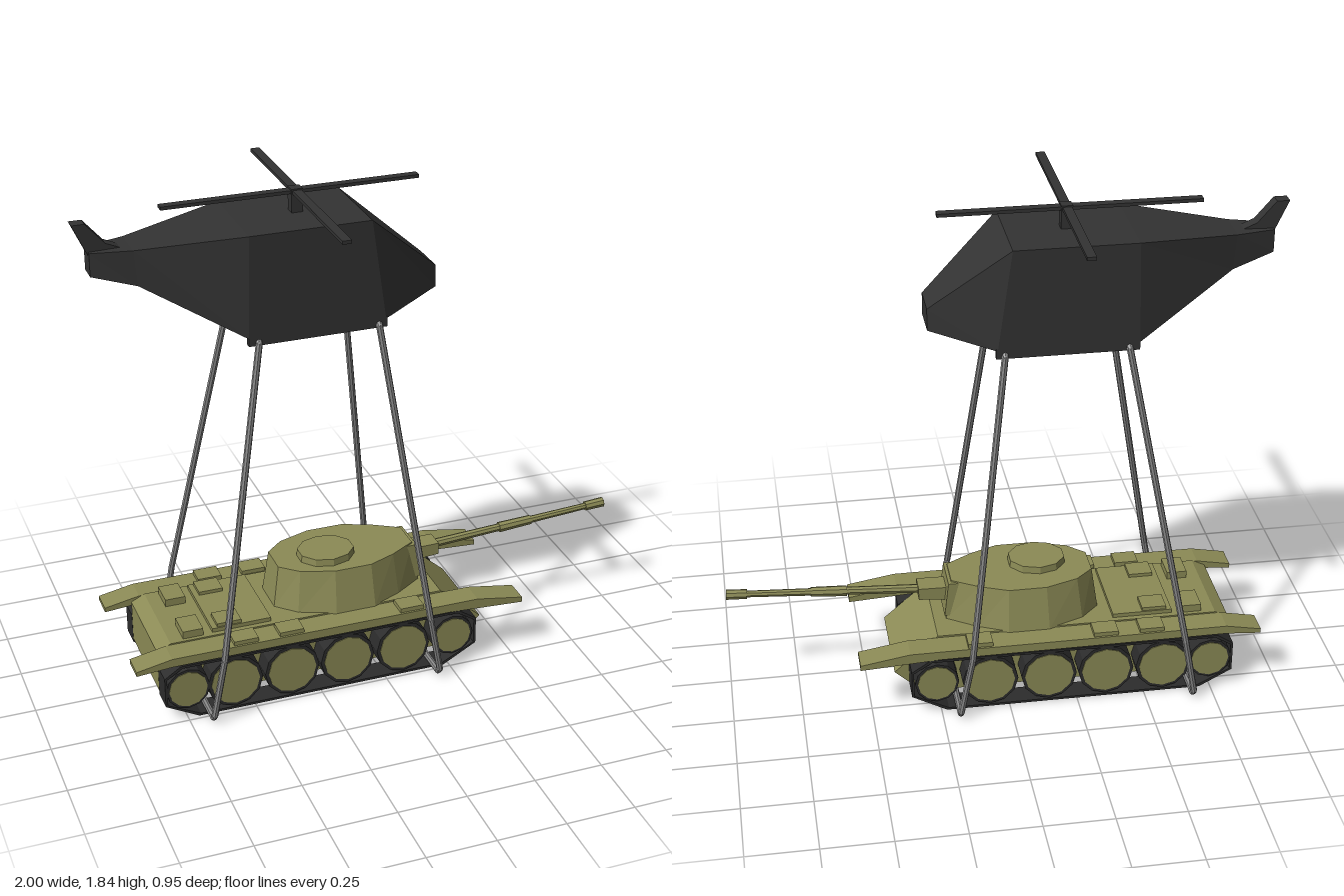
import * as THREE from 'three';

const mat = (color, side = THREE.FrontSide) => new THREE.MeshStandardMaterial({ color, flatShading: true, side });
const olive = mat(0x8c8b56), black = mat(0x333333), rubber = mat(0x2c2c2c), steel = mat(0x858585);
const MID = -0.033; // z of the common centre line

function add(parent, name, geometry, material, x = 0, y = 0, z = 0) {
  const mesh = new THREE.Mesh(geometry, material);
  mesh.name = name;
  mesh.position.set(x, y, z);
  parent.add(mesh);
  return mesh;
}

// Box given by its x, y and z ranges
function box(parent, name, material, [x0, x1], [y0, y1], [z0, z1]) {
  return add(parent, name, new THREE.BoxGeometry(x1 - x0, y1 - y0, z1 - z0), material,
    (x0 + x1) / 2, (y0 + y1) / 2, (z0 + z1) / 2);
}

// Side profile in x and y, extruded from z0 to z1
function profile(points, z0, z1, hole) {
  const shape = new THREE.Shape(points.map(p => new THREE.Vector2(...p)));
  if (hole) shape.holes.push(new THREE.Path(hole.map(p => new THREE.Vector2(...p))));
  return new THREE.ExtrudeGeometry(shape, { depth: z1 - z0, bevelEnabled: false }).translate(0, 0, z0);
}

// Solid through loops of equal length, closed at both ends
function loft(loops) {
  const n = loops[0].length, index = [];
  for (let i = 0; i < loops.length - 1; i++) {
    for (let j = 0; j < n; j++) {
      const a = i * n + j, b = i * n + (j + 1) % n;
      index.push(a, b, b + n, a, b + n, a + n);
    }
  }
  const end = (loops.length - 1) * n;
  for (let j = 1; j < n - 1; j++) index.push(0, j + 1, j, end, end + j, end + j + 1);
  const g = new THREE.BufferGeometry();
  g.setAttribute('position', new THREE.Float32BufferAttribute(loops.flat(2), 3));
  g.setIndex(index);
  const flat = g.toNonIndexed();
  flat.computeVertexNormals();
  return flat;
}

// Cylinder between two points
function rod(parent, name, a, b, r0, r1, material, sides = 8) {
  const dir = b.clone().sub(a);
  const mesh = add(parent, name, new THREE.CylinderGeometry(r1, r0, dir.length(), sides), material);
  mesh.position.copy(a).addScaledVector(dir, 0.5);
  mesh.quaternion.setFromUnitVectors(new THREE.Vector3(0, 1, 0), dir.normalize());
  return mesh;
}

function buildTank() {
  const tank = new THREE.Group();
  tank.name = 'tank';

  add(tank, 'hull', profile([[-0.83, 0.09], [-0.77, 0.04], [0.31, 0.04], [0.41, 0.135],
    [0.25, 0.275], [-0.78, 0.275], [-0.83, 0.25]], -0.18, 0.18), olive);

  // Raised plates on the engine deck
  box(tank, 'engineCover', olive, [-0.62, -0.40], [0.27, 0.29], [-0.16, 0.16]);
  for (const s of [-1, 1]) {
    const z = s * 0.115;
    box(tank, 'deckHatch', olive, [-0.73, -0.655], [0.27, 0.303], [z - 0.05, z + 0.05]);
    box(tank, 'deckGrille', olive, [-0.60, -0.51], [0.28, 0.303], [z - 0.04, z + 0.04]);
  }

  // Running gear, one set per side
  const belt = [[-0.71, 0.01], [0.23, 0.01], [0.357, 0.08], [0.357, 0.185], [0.29, 0.23],
    [-0.77, 0.23], [-0.83, 0.19], [-0.83, 0.075]];
  const inner = belt.map(([x, y]) => [-0.236 + (x + 0.236) * 0.986, 0.12 + (y - 0.12) * 0.92]);
  const wheels = [[-0.745, 0.13, 0.08], [-0.57, 0.122, 0.102], [-0.357, 0.122, 0.102],
    [-0.146, 0.122, 0.102], [0.07, 0.122, 0.102], [0.265, 0.13, 0.08]];
  for (const s of [-1, 1]) {
    const side = new THREE.Group();
    side.name = s > 0 ? 'leftRunningGear' : 'rightRunningGear';
    tank.add(side);
    const z0 = s > 0 ? 0.183 : -0.268;
    add(side, 'track', profile(belt, z0, z0 + 0.085, inner), rubber);
    for (const [x, y, r] of wheels) {
      const wheel = new THREE.Group();
      wheel.name = 'roadWheel';
      wheel.position.set(x, y, s * 0.223);
      side.add(wheel);
      add(wheel, 'tyre', new THREE.CylinderGeometry(r, r, 0.084, 12).rotateX(Math.PI / 2), rubber);
      add(wheel, 'disc', new THREE.CylinderGeometry(r * 0.88, r * 0.88, 0.09, 12).rotateX(Math.PI / 2), olive);
    }
    const f0 = s > 0 ? 0.18 : -0.272;
    add(side, 'fender', profile([[-0.93, 0.228], [-0.8, 0.238], [0.25, 0.235], [0.54, 0.218],
      [0.54, 0.238], [0.36, 0.268], [-0.8, 0.27], [-0.93, 0.245]], f0, f0 + 0.092), olive);
    for (const x of [-0.525, -0.355, 0.105]) {
      box(side, 'stowageBox', olive, [x - 0.045, x + 0.045], [0.26, 0.285],
        [s * 0.228 - 0.036, s * 0.228 + 0.036]);
    }
  }

  // Turret: faceted oval tapering to its roof
  const half = [[-0.36, 0.07], [-0.29, 0.14], [-0.16, 0.19], [-0.01, 0.19], [0.10, 0.14], [0.205, 0.07]];
  const oval = [...half, ...half.map(([x, z]) => [x, -z]).reverse()];
  add(tank, 'turret', loft([[0.27, 1, 1], [0.43, 0.92, 0.83]].map(([y, sx, sz]) =>
    oval.map(([x, z]) => [-0.07 + (x + 0.07) * sx, y, z * sz]))), olive);
  add(tank, 'cupola', new THREE.CylinderGeometry(0.105, 0.108, 0.03, 10).scale(1, 1, 0.86), olive,
    -0.145, 0.441, 0.028);

  // Gun
  add(tank, 'mantlet', profile([[0.12, 0.29], [0.21, 0.29], [0.195, 0.425], [0.12, 0.425]], -0.075, 0.075), olive);
  add(tank, 'gunCollar', profile([[0.18, 0.335], [0.30, 0.345], [0.30, 0.39], [0.18, 0.388]], -0.038, 0.038), olive);
  const on = x => new THREE.Vector3(x, 0.364 + (x - 0.19) * 0.061, 0);
  rod(tank, 'barrel', on(0.2), on(0.97), 0.017, 0.012, olive);
  rod(tank, 'boreEvacuator', on(0.56), on(0.69), 0.02, 0.018, olive);
  rod(tank, 'muzzle', on(0.92), on(0.995), 0.018, 0.019, olive);
  return tank;
}

function buildHelicopter() {
  const heli = new THREE.Group();
  heli.name = 'helicopter';

  // Sections from tail to nose: top x, bottom x, bottom y, top y, half width
  const sections = [[-0.95, -0.95, 1.64, 1.722, 0.035], [-0.81, -0.80, 1.60, 1.726, 0.07],
    [-0.45, -0.46, 1.402, 1.765, 0.178], [-0.02, 0.03, 1.402, 1.765, 0.178], [0.255, 0.255, 1.445, 1.525, 0.068]];
  add(heli, 'fuselage', loft(sections.map(([xt, xb, y0, y1, w]) =>
    [[xt, y1, w], [xb, y0, w], [xb, y0, -w], [xt, y1, -w]])), black);
  add(heli, 'tailFin', profile([[-0.95, 1.71], [-0.82, 1.715], [-0.89, 1.745], [-0.955, 1.82], [-1.0, 1.82]],
    -0.022, 0.022), black);
  for (const s of [-1, 1]) {
    box(heli, 'skidRail', black, [-0.46, 0.035], [1.373, 1.41], [s * 0.168 - 0.01, s * 0.168 + 0.01]);
  }

  // Rotor
  box(heli, 'mast', black, [-0.25, -0.21], [1.75, 1.848], [-0.02, 0.02]);
  box(heli, 'bladePairLong', black, [-0.70, 0.21], [1.831, 1.843], [-0.016, 0.016]);
  box(heli, 'bladePairCross', black, [-0.246, -0.214], [1.831, 1.843], [-0.443, 0.508]);
  return heli;
}

// Lifting frame: closed loop from the belly, around the tank and under it
function buildSling(name, topX, kneeX, bottomX) {
  const sling = new THREE.Group();
  sling.name = name;
  const side = [[topX - (kneeX - topX) * 0.01, 1.392, 0.165], [topX, 1.38, 0.18], [kneeX, 0.27, 0.343],
    [bottomX, 0.045, 0.337], [bottomX, 0.027, 0.32]];
  const path = [...side, ...side.map(([x, y, z]) => [x, y, -z]).reverse()].map(p => new THREE.Vector3(...p));
  path.forEach((p, i) => {
    rod(sling, 'slingBar', p, path[(i + 1) % path.length], 0.012, 0.012, steel);
    add(sling, 'slingJoint', new THREE.SphereGeometry(0.012, 8, 6), steel, p.x, p.y, p.z);
  });
  return sling;
}

export function createModel() {
  const model = new THREE.Group();
  model.name = 'helicopterCarryingTank';
  model.add(buildTank(), buildHelicopter(),
    buildSling('rearSling', -0.425, -0.63, -0.672), buildSling('frontSling', 0.005, 0.145, 0.187));
  for (const part of model.children) part.position.set(0, -0.01, MID);
  return model;
}
